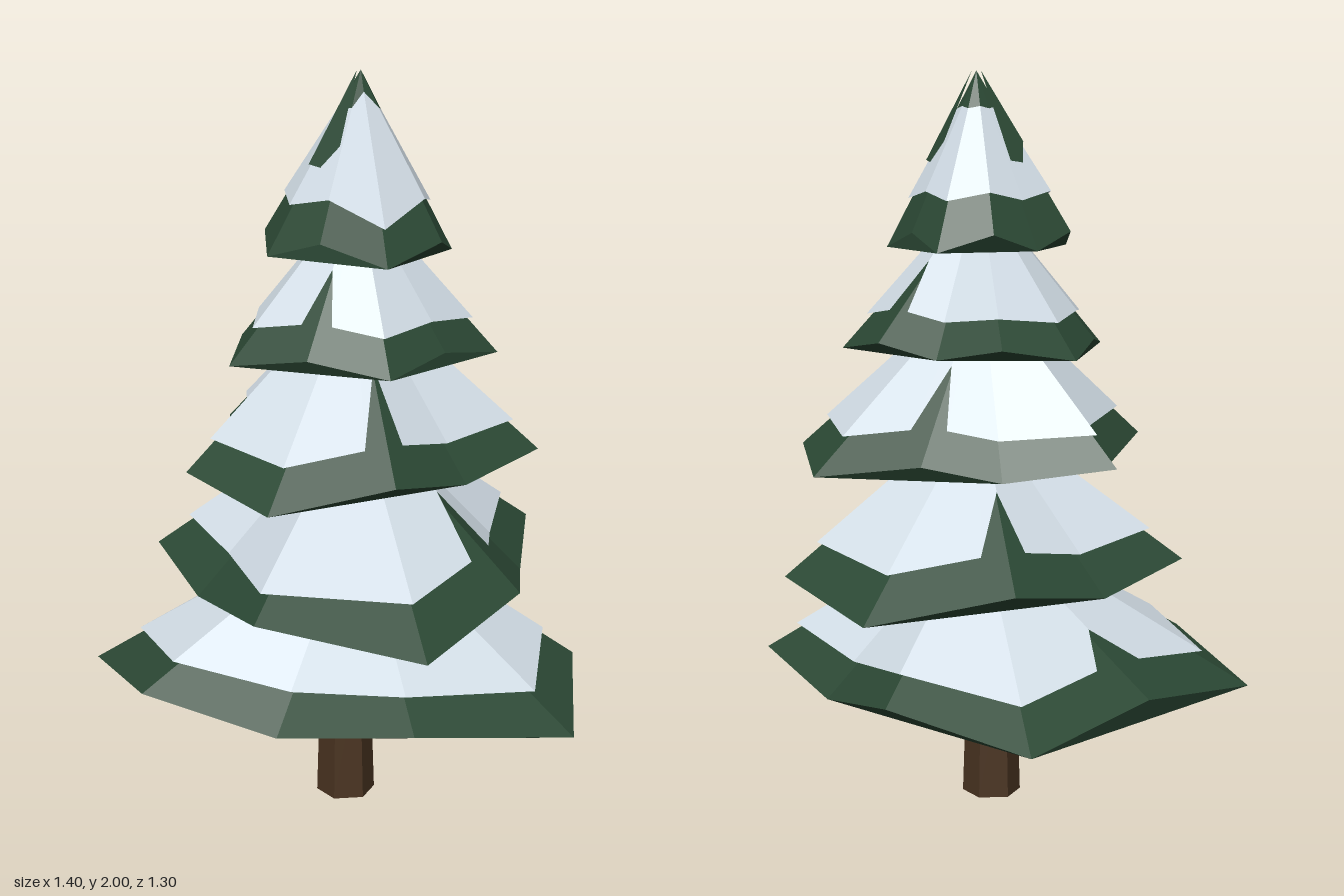
import * as THREE from 'three';

const needles = new THREE.MeshStandardMaterial({ color: 0x2b4834, flatShading: true });
needles.name = 'needle green';
const snow = new THREE.MeshStandardMaterial({ color: 0xd2dde6, flatShading: true, side: THREE.DoubleSide });
snow.name = 'snow white';
const bark = new THREE.MeshStandardMaterial({ color: 0x4a3421, flatShading: true });
bark.name = 'bark brown';

const N = 10; // rim corners per tier, alternately drooping and raised

// low / high: rim heights; droop: parity of the drooping corners;
// r: rim radius every 36 degrees from the front towards +x;
// cover: how far the snow reaches down the slope;
// gaps: corners with a notch in the snow, and how far up it starts;
// spills: corners where a thicker lobe of snow hangs further out
const TIERS = [
  { low: 0.35, high: 0.41, droop: 0, apex: [0, 0.79, 0], cover: 0.83, gaps: { 7: 0.66 }, spills: {},
    r: [0.53, 0.63, 0.735, 0.6, 0.46, 0.545, 0.7, 0.6, 0.74, 0.66] },
  { low: 0.65, high: 0.7, droop: 1, apex: [0, 1.1, 0], cover: 0.81, gaps: { 2: 0.5, 6: 0.5 }, spills: { 0: 0.94 },
    r: [0.65, 0.745, 0.555, 0.45, 0.575, 0.655, 0.505, 0.45, 0.555, 0.49] },
  { low: 0.955, high: 0.995, droop: 0, apex: [0, 1.44, 0.01], cover: 0.83, gaps: { 1: 0.45, 5: 0.5 }, spills: {},
    r: [0.565, 0.43, 0.375, 0.49, 0.49, 0.345, 0.33, 0.485, 0.355, 0.515] },
  { low: 1.26, high: 1.295, droop: 1, apex: [0.01, 1.68, 0.02], cover: 0.82, gaps: { 0: 0.5, 4: 0.5 }, spills: {},
    r: [0.325, 0.37, 0.3, 0.375, 0.3, 0.255, 0.325, 0.345, 0.31, 0.385] },
  { low: 1.535, high: 1.58, droop: 1, apex: [0.025, 2, 0.035], cover: 0.76, gaps: {}, spills: { 1: 0.9 }, top: true,
    r: [0.24, 0.335, 0.285, 0.25, 0.2, 0.25, 0.21, 0.21, 0.245, 0.27] },
];

function meshFrom(triangles, material, name) {
  const geo = new THREE.BufferGeometry().setFromPoints(triangles);
  geo.computeVertexNormals();
  const mesh = new THREE.Mesh(geo, material);
  mesh.name = name;
  return mesh;
}

function rimPoints(tier) {
  return tier.r.map((r, i) => {
    const a = (i / N) * Math.PI * 2;
    const y = i % 2 === tier.droop ? tier.low : tier.high;
    return new THREE.Vector3(r * Math.sin(a), y, r * Math.cos(a));
  });
}

// Faceted cone of needles; flat underside between the drooping corners
function makeBoughs(tier, rim, apex) {
  const centre = new THREE.Vector3(0, tier.low, 0);
  const tris = [];
  rim.forEach((p, i) => {
    const q = rim[(i + 1) % N];
    tris.push(apex, p, q);
    if (i % 2 === tier.droop) {
      const next = rim[(i + 2) % N];
      tris.push(p, next, q, centre, next, p);
    }
  });
  return meshFrom(tris, needles, 'boughs');
}

// Snow sheet lying on the boughs, with open notches
function makeSnow(tier, rim, apex) {
  const lift = 0.018;
  const top = apex.clone();
  top.y += tier.top ? -0.007 : lift;
  const onSlope = (p, t, extra = 0) => {
    const v = apex.clone().lerp(p, t);
    v.y += lift + extra;
    return v;
  };
  const edge = [];
  rim.forEach((p, i) => {
    if (tier.gaps[i]) {
      const before = rim[(i + N - 1) % N], after = rim[(i + 1) % N];
      edge.push(onSlope(p.clone().lerp(before, 0.23), tier.cover));
      edge.push(onSlope(p, tier.gaps[i]));
      edge.push(onSlope(p.clone().lerp(after, 0.23), tier.cover));
    } else if (tier.spills[i]) {
      edge.push(onSlope(p, tier.spills[i], 0.03));
    } else {
      edge.push(onSlope(p, tier.cover + (i % 2 === tier.droop ? 0 : 0.03)));
    }
  });
  const tris = [];
  edge.forEach((a, i) => tris.push(top, a, edge[(i + 1) % edge.length]));
  return meshFrom(tris, snow, 'snowCover');
}

// Bare needle patches showing through the snow near the tip
function makePatches(rim, apex) {
  const group = new THREE.Group();
  group.name = 'barePatches';
  for (const i of [3, 7, 9]) {
    const p = rim[i], q = rim[(i + 1) % N];
    const at = (s, t) => {
      const v = apex.clone().lerp(p.clone().lerp(q, s), t);
      v.y += 0.026;
      return v;
    };
    const tip = at(0.5, 0.06), a = at(0.02, 0.56), m = at(0.5, 0.6), b = at(0.98, 0.5);
    group.add(meshFrom([tip, a, m, tip, m, b], needles, 'barePatch'));
  }
  return group;
}

export function createModel() {
  const tree = new THREE.Group();
  tree.name = 'snowyTree';

  // Six-sided trunk
  const trunk = new THREE.Mesh(new THREE.CylinderGeometry(0.068, 0.081, 0.4, 6), bark);
  trunk.name = 'trunk';
  trunk.position.set(-0.01, 0.2, 0.06);
  tree.add(trunk);

  // Stacked tiers
  TIERS.forEach((tier, k) => {
    const group = new THREE.Group();
    group.name = `tier${k + 1}`;
    const rim = rimPoints(tier);
    const apex = new THREE.Vector3(...tier.apex);
    group.add(makeBoughs(tier, rim, apex), makeSnow(tier, rim, apex));
    if (tier.top) group.add(makePatches(rim, apex));
    tree.add(group);
  });
  return tree;
}
